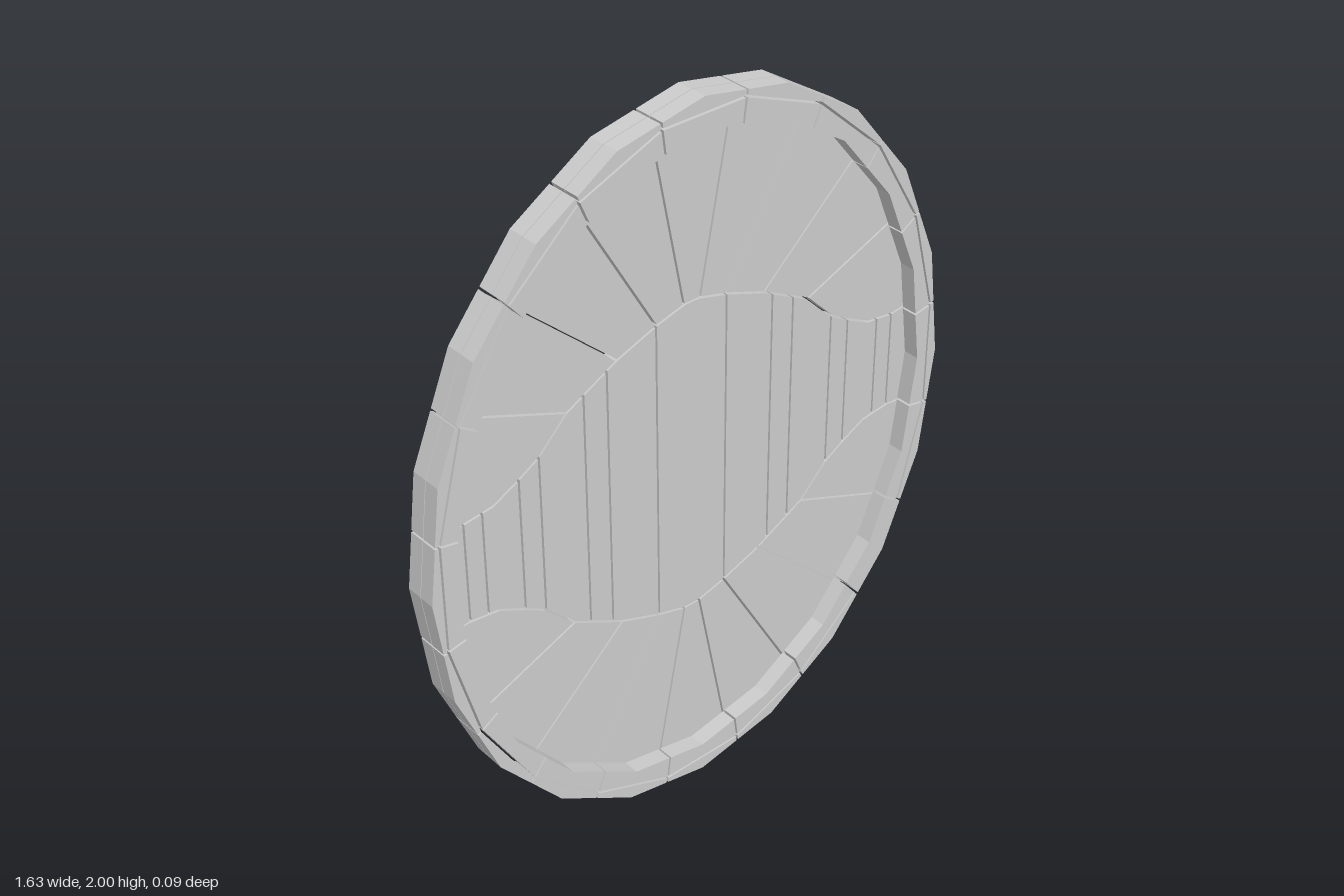
import * as THREE from 'three';

const SIDES = 20, HALF_W = 0.818, HALF_H = 1.003, DEPTH = 0.045, GAP = 0.003;
const material = new THREE.MeshStandardMaterial({ color: 0xcccccc });

// Point on the oval, at a step around it counted clockwise from the top
function oval(step, radius) {
  const a = (step / SIDES) * Math.PI * 2;
  return new THREE.Vector2(Math.sin(a) * HALF_W * radius, Math.cos(a) * HALF_H * radius);
}
const edgeMiddle = (step) => oval(step, Math.cos(Math.PI / SIDES));

// Move every edge of an outline inward, leaving a fine joint between pieces
function inset(points, d) {
  const pts = THREE.ShapeUtils.area(points) < 0 ? points.slice().reverse() : points;
  const n = pts.length;
  return pts.map((p, i) => {
    const u = p.clone().sub(pts[(i + n - 1) % n]).normalize();
    const v = pts[(i + 1) % n].clone().sub(p).normalize();
    const n1 = new THREE.Vector2(-u.y, u.x), n2 = new THREE.Vector2(-v.y, v.x);
    const m = n1.clone().add(n2);
    return p.clone().addScaledVector(m, d / Math.max(0.15, 1 + n1.dot(n2)));
  });
}

// Flat piece cut from an outline, between two depths
function piece(group, name, points, z0, z1) {
  const shape = new THREE.Shape(inset(points, GAP));
  const geometry = new THREE.ExtrudeGeometry(shape, { depth: z1 - z0, bevelEnabled: false });
  geometry.translate(0, 1, z0);
  const mesh = new THREE.Mesh(geometry, material);
  mesh.name = name;
  group.add(mesh);
}

// Right half of the wavy upper edge of the central band
const SEAM = 0.968, LIP = 0.91;
const corner = oval(4.5, SEAM);
const wave = [
  [0, 0.457], [0.025, 0.455], [0.11, 0.432], [0.23, 0.388], [0.38, 0.31], [0.465, 0.225],
  [0.525, 0.19], [0.6, 0.152], [0.69, 0.141], [corner.x, corner.y],
].map(([x, y]) => new THREE.Vector2(x, y));

function waveHeight(x) {
  const ax = Math.abs(x);
  let i = 1;
  while (i < wave.length - 1 && wave[i].x < ax) i++;
  const a = wave[i - 1], b = wave[i];
  return a.y + ((b.y - a.y) * (ax - a.x)) / (b.x - a.x);
}

export function createModel() {
  const model = new THREE.Group();
  model.name = 'ovalShield';
  const part = (name) => {
    const g = new THREE.Group();
    g.name = name;
    model.add(g);
    return g;
  };

  // Rim: outer blocks in two layers, and a raised lip on the front only
  const rim = part('rim');
  for (let k = 0; k < SIDES; k++) {
    const a = k - 0.5, b = k + 0.5;
    const block = [edgeMiddle(a), oval(k, 1), edgeMiddle(b), oval(b, SEAM), oval(a, SEAM)];
    piece(rim, 'rimFrontBlock', block, 0.001, DEPTH);
    piece(rim, 'rimBackBlock', block, -DEPTH, -0.001);
    const inner = Math.cos(Math.PI / SIDES) * LIP;
    piece(rim, 'frontLip', [oval(a, SEAM), oval(b, SEAM), oval(b, inner), oval(k, LIP), oval(a, inner)],
      0, DEPTH);
  }

  // Fan panels above and below the central band
  const fan = part('fanPanels');
  const innerEdge = [[1], [1, 2], [2, 3], [3, 4], [4, 5, 6, 7, 8, 9]];
  const mirror = (points, sx, sy) => points.map((p) => new THREE.Vector2(p.x * sx, p.y * sy));
  for (const sy of [1, -1]) {
    const middle = [oval(-0.5, SEAM), oval(0.5, SEAM), wave[1], new THREE.Vector2(-wave[1].x, wave[1].y)];
    piece(fan, 'fanPanel', mirror(middle, 1, sy), -DEPTH, 0);
    for (const sx of [1, -1]) {
      for (let k = 1; k <= 4; k++) {
        const ids = innerEdge[k];
        const lower = ids.map((i) => wave[i]).reverse();
        // The last panel ends at the corner shared with the band
        const outer = k === 4 ? [oval(3.5, SEAM)] : [oval(k - 0.5, SEAM), oval(k + 0.5, SEAM)];
        piece(fan, 'fanPanel', mirror([...outer, ...lower], sx, sy), -DEPTH, 0);
      }
    }
  }

  // Upright slats across the central band
  const band = part('centralSlats');
  const half = [0.11, 0.26, 0.33, 0.465, 0.525, 0.632, 0.685, corner.x];
  const cuts = [...half.map((x) => -x).reverse(), ...half];
  const bends = [...wave.slice(1).map((p) => -p.x), ...wave.map((p) => p.x)].sort((a, b) => a - b);
  for (let i = 0; i < cuts.length - 1; i++) {
    const x0 = cuts[i], x1 = cuts[i + 1];
    const xs = [x0, ...bends.filter((x) => x > x0 + 0.008 && x < x1 - 0.008), x1];
    const top = xs.map((x) => new THREE.Vector2(x, waveHeight(x)));
    const bottom = mirror(top, 1, -1).reverse();
    piece(band, 'slat', [...top, ...bottom], -DEPTH, 0);
  }
  return model;
}
